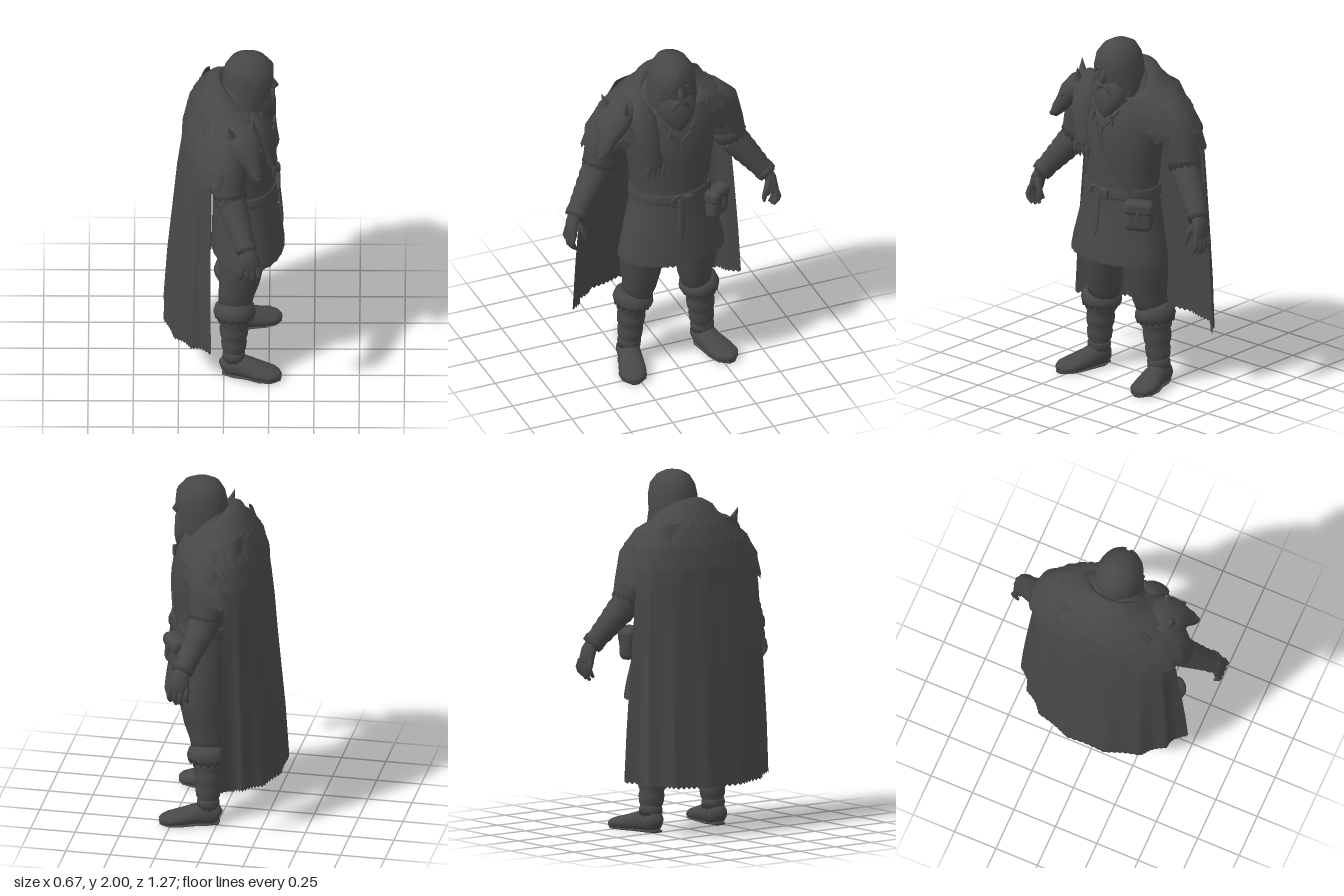
import * as THREE from 'three';
import { RoundedBoxGeometry } from 'three/addons/geometries/RoundedBoxGeometry.js';

const V = (x, y, z) => new THREE.Vector3(x, y, z);
const charcoal = new THREE.MeshStandardMaterial({ color: 0x48484b, side: THREE.DoubleSide });
charcoal.name = 'charcoal';

// Grid of points (rows x cols) to a smooth surface, optionally wrapped, with caps on chosen ends
function skin(grid, closed, caps) {
  const n = grid[0].length, pos = [], idx = [];
  grid.forEach(r => r.forEach(p => pos.push(p.x, p.y, p.z)));
  const cols = closed ? n : n - 1;
  for (let i = 0; i < grid.length - 1; i++) for (let j = 0; j < cols; j++) {
    const k = (j + 1) % n, a = i * n + j, b = i * n + k, c = a + n, d = b + n;
    idx.push(a, b, c, b, d, c);
  }
  caps.forEach((row, e) => {
    const mid = grid[row].reduce((s, p) => s.add(p), V(0, 0, 0)).divideScalar(n);
    const m = pos.length / 3;
    pos.push(mid.x, mid.y, mid.z);
    for (let j = 0; j < n; j++) {
      const a = row * n + j, b = row * n + (j + 1) % n;
      if (e) idx.push(m, a, b); else idx.push(m, b, a);
    }
  });
  const g = new THREE.BufferGeometry();
  g.setAttribute('position', new THREE.Float32BufferAttribute(pos, 3));
  g.setIndex(idx);
  g.computeVertexNormals();
  return g;
}

// Elliptical sections [x, y, z, halfWidth, halfDepth] swept along their centres;
// zig makes the last edge ragged, floor flattens the underside
function sweep(rows, { n = 20, side = V(1, 0, 0), zig = 0, floor = -9, open = false } = {}) {
  const c = rows.map(r => V(r[0], r[1], r[2]));
  return skin(rows.map((r, i) => {
    const t = c[Math.min(i + 1, c.length - 1)].clone().sub(c[Math.max(i - 1, 0)]).normalize();
    const b = t.clone().cross(side).normalize(), s = b.clone().cross(t);
    return Array.from({ length: n }, (_, j) => {
      const a = j / n * Math.PI * 2;
      const p = c[i].clone().addScaledVector(s, Math.cos(a) * r[3]).addScaledVector(b, Math.sin(a) * r[4]);
      if (zig && i === rows.length - 1) p.addScaledVector(t, zig * (j % 2 ? 1 : -0.6));
      p.y = Math.max(p.y, floor);
      return p;
    });
  }), true, open ? [0] : [0, rows.length - 1]);
}

// Draped sheet open at the front: rows of [y, halfWidth, zBack, zFront, halfAngle, frontRise]
function shell(rows, { n = 64, zig = 0, fold = () => 1 } = {}) {
  return skin(rows.map((r, i) => Array.from({ length: n + 1 }, (_, j) => {
    const u = j / n * 2 - 1, a = u * r[4] * Math.PI / 180, f = fold(u, i / (rows.length - 1));
    const ragged = i === rows.length - 1 ? zig * (j % 2 ? -1 : 0.4) : 0;
    return V(r[1] * Math.sin(a) * f, r[0] + r[5] * (1 - Math.cos(a)) / 2 + ragged,
      (r[2] + r[3]) / 2 - (r[3] - r[2]) / 2 * Math.cos(a) * f);
  })), false, []);
}

const tube = (pts, r) => new THREE.TubeGeometry(new THREE.CatmullRomCurve3(pts.map(p => V(...p))), 16, r, 6);

export function createModel() {
  const model = new THREE.Group(), body = new THREE.Group();
  body.name = 'figure';
  body.rotation.y = Math.PI / 2; // figure looks along +x
  model.add(body);
  const add = (name, geo, at, rot) => {
    const m = new THREE.Mesh(geo, charcoal);
    m.name = name;
    if (at) m.position.set(...at);
    if (rot) m.rotation.set(...rot);
    body.add(m);
    return m;
  };
  const ball = (name, at, s) => add(name, new THREE.SphereGeometry(1, 16, 12), at).scale.set(...s);

  // Tunic, from the neck down to an open, slightly ragged hem
  add('tunic', sweep([[0, 1.82, .08, .09, .08], [0, 1.74, .05, .2, .11], [0, 1.62, .075, .265, .17],
    [0, 1.5, .1, .262, .182], [0, 1.4, .11, .255, .183], [0, 1.28, .11, .235, .178], [0, 1.16, .11, .222, .175],
    [0, 1.08, .115, .232, .18], [0, .95, .12, .265, .185], [0, .82, .13, .295, .197], [0, .755, .132, .308, .203],
    [0, .737, .132, .31, .204]], { n: 48, zig: .005, open: true }));
  add('belt', sweep([[0, 1.165, .11, .225, .18], [0, 1.16, .11, .234, .186], [0, 1.11, .112, .238, .188],
    [0, 1.105, .112, .225, .18]], { n: 40 }));
  add('buckle', new THREE.TorusGeometry(.033, .009, 8, 20), [-.03, 1.135, .302]);
  add('beltKnot', new RoundedBoxGeometry(.06, .06, .03, 2, .012), [.03, 1.135, .298]);
  add('beltEnd', sweep([[-.01, 1.14, .3, .02, .01], [-.015, 1.02, .312, .022, .01], [-.02, .93, .32, .024, .009],
    [-.022, .88, .324, .004, .006]], { n: 10 }));

  // Pouch with flap and clasp
  add('pouch', new RoundedBoxGeometry(.16, .17, .085, 4, .035), [.23, 1.035, .235], [0, .65, -.06]);
  add('pouchFlap', new RoundedBoxGeometry(.165, .08, .095, 3, .03), [.231, 1.085, .237], [0, .65, -.06]);
  add('clasp', new RoundedBoxGeometry(.02, .06, .012, 2, .005), [.258, 1.045, .278], [0, .65, -.06]);
  add('shoulderStrap', tube([[-.06, 1.56, .275], [0, 1.43, .298], [.1, 1.28, .277], [.19, 1.12, .235]], .008));
  for (const s of [-1, 1]) {
    add('neckCord', tube([[s * .1, 1.63, .25], [s * .06, 1.57, .275], [0, 1.5, .288], [s * .015, 1.44, .296]], .007));
    add('cordToggle', new THREE.CapsuleGeometry(.01, .045, 4, 8), [s * .065, 1.57, .278], [0, 0, s * .2]);
  }

  // Head and face
  add('face', sweep([[0, 1.98, .13, .05, .06], [0, 1.93, .14, .1, .115], [0, 1.86, .145, .114, .122],
    [0, 1.82, .143, .114, .118], [0, 1.76, .145, .108, .118], [0, 1.68, .14, .085, .1], [0, 1.62, .1, .07, .07]]));
  add('nose', sweep([[0, 1.85, .256, .01, .01], [0, 1.82, .27, .014, .016], [0, 1.795, .28, .02, .023],
    [0, 1.78, .27, .013, .014]], { n: 12 }));
  for (const s of [-1, 1]) {
    ball('brow', [s * .042, 1.848, .246], [.036, .01, .018]);
    ball('eye', [s * .04, 1.828, .245], [.014, .008, .01]);
    ball('cheek', [s * .058, 1.79, .222], [.04, .035, .022]);
    add('moustache', sweep([[0, 1.765, .266, .014, .016], [s * .03, 1.75, .264, .018, .018],
      [s * .055, 1.7, .255, .018, .018], [s * .065, 1.64, .25, .004, .004]], { n: 10 }));
  }
  add('beard', sweep([[0, 1.79, .18, .108, .06], [0, 1.74, .2, .115, .072], [0, 1.68, .215, .108, .075],
    [0, 1.63, .23, .082, .062], [0, 1.59, .245, .046, .04], [0, 1.562, .255, .008, .012]]));
  add('hair', shell([[2, .001, .13, .131, 180, 0], [1.993, .045, .08, .185, 180, 0], [1.97, .085, .035, .235, 179, 0],
    [1.92, .118, .005, .275, 172, 0], [1.86, .131, -.008, .286, 157, 0], [1.8, .135, -.01, .278, 147, 0],
    [1.72, .142, -.01, .265, 140, 0], [1.64, .135, -.01, .27, 140, 0], [1.6, .12, -.01, .27, 140, 0]],
    { n: 60, zig: .008, fold: (u, v) => 1 + .012 * v * Math.sin(u * 34) }));

  // Fur mantle with a rolled collar and overlapping ragged tiers
  const fur = [[1.78, .125, 0, .19, 150, -.16], [1.845, .14, -.015, .2, 150, -.19], [1.862, .165, -.04, .21, 150, -.2],
    [1.84, .195, -.09, .225, 150, -.17], [1.79, .215, -.118, .235, 150, -.1], [1.73, .29, -.165, .24, 150, -.05],
    [1.63, .385, -.202, .24, 150, -.01], [1.51, .445, -.225, .23, 150, .03], [1.37, .468, -.238, .21, 146, .11]];
  add('mantle', shell(fur, { zig: .018, fold: (u, v) => 1 + .012 * v * Math.sin(u * 41) }));
  for (const k of [5, 6, 7]) {
    const r = fur[k];
    add('furTier', shell([fur[k - 1], [r[0] - .01, r[1] + .011, r[2] - .008, r[3] + .01, r[4], r[5]]], { n: 52, zig: .016 }));
  }

  // Long pleated cape, straighter towards its front corners
  const pleats = (u, v) => 1 + v * (.025 - .055 * Math.abs(Math.cos(u * Math.PI * 3.5)) - .08 * Math.sin(u * u * Math.PI));
  const cape = [[1.74, .25, -.14], [1.5, .4, -.215], [1.36, .425, -.24], [1.2, .437, -.262], [.9, .46, -.29],
    [.6, .48, -.318], [.285, .493, -.338]];
  add('cape', shell(cape.map(([y, w, zb], i) => [y, w, zb, -.16 - zb, 92, i === cape.length - 1 ? .07 : 0]),
    { n: 90, zig: .009, fold: pleats }));

  // Wolf pelt head on the right shoulder, with a hanging paw
  add('wolfHead', sweep([[-.22, 1.7, .07, .05, .03], [-.27, 1.685, .08, .09, .05], [-.325, 1.64, .105, .103, .07],
    [-.365, 1.59, .13, .09, .065], [-.39, 1.54, .155, .054, .047], [-.418, 1.495, .175, .042, .037],
    [-.438, 1.462, .185, .025, .022]], { side: V(.5, 0, .87) }));
  ball('wolfNose', [-.444, 1.468, .19], [.018, .015, .018]);
  for (const [x, z, lean, tilt] of [[-.355, .04, -.25, .25], [-.285, .155, .2, -.05]]) {
    add('wolfEar', new THREE.ConeGeometry(.042, .13, 10), [x, 1.705, z], [lean, 0, tilt]);
  }
  ball('wolfEye', [-.418, 1.6, .12], [.014, .012, .014]);
  ball('wolfEye', [-.36, 1.6, .203], [.014, .012, .014]);
  add('pawLeg', sweep([[-.2, 1.73, .15, .03, .02], [-.195, 1.67, .205, .07, .035], [-.185, 1.56, .24, .07, .036],
    [-.17, 1.47, .258, .05, .03], [-.155, 1.4, .266, .056, .03], [-.148, 1.36, .268, .045, .022]]));
  for (let i = 0; i < 4; i++) {
    const x = -.195 + i * .029;
    add('pawToe', sweep([[x, 1.39, .272, .015, .015], [x, 1.35, .28, .016, .016], [x, 1.305, .274, .004, .004]], { n: 8 }));
  }

  for (const s of [-1, 1]) {
    // Arms: sleeve, fur cuff, wrapped bracer
    add('sleeve', sweep([[s * .24, 1.64, .04, .1, .1], [s * .33, 1.54, .03, .115, .105], [s * .37, 1.42, .028, .1, .098],
      [s * .405, 1.3, .035, .085, .085], [s * .45, 1.23, .055, .06, .065]]));
    add('elbowCuff', sweep([[s * .365, 1.385, .025, .07, .07], [s * .373, 1.37, .03, .095, .092],
      [s * .4, 1.315, .036, .092, .09]], { n: 28, zig: .01 }));
    const elbow = V(s * .395, 1.31, .035), wrist = V(s * .57, 1.08, .125);
    const wraps = [];
    for (let i = 0; i <= 12; i++) {
      const p = elbow.clone().lerp(wrist, i / 12), r = .087 - .033 * i / 12 + (i % 2 ? .003 : -.002);
      wraps.push([p.x, p.y, p.z, r, r]);
    }
    add('bracer', sweep(wraps));
    add('wristCuff', sweep([[s * .55, 1.105, .115, .05, .05], [s * .56, 1.093, .122, .062, .064],
      [s * .576, 1.072, .131, .057, .058]], { n: 20, zig: .007 }));
    // Hands with curled fingers
    add('palm', sweep([[s * .57, 1.09, .125, .035, .04], [s * .594, 1.04, .135, .032, .052],
      [s * .605, .985, .142, .027, .056], [s * .606, .96, .143, .015, .045]]));
    for (let i = 0; i < 4; i++) {
      const z = .095 + i * .032, d = [.02, 0, .005, .02][i];
      add('finger', sweep([[s * .605, .99, z, .016, .016], [s * .62, .945, z + .003, .016, .015],
        [s * .612, .905 + d, z + .003, .015, .014], [s * .592, .876 + d, z, .008, .008]], { n: 8 }));
    }
    add('thumb', sweep([[s * .575, 1.04, .165, .022, .022], [s * .55, .995, .185, .018, .018],
      [s * .535, .95, .188, .014, .014], [s * .537, .925, .186, .007, .007]], { n: 8 }));

    // Legs: trousers, fur knee cuffs, wrapped calves, shoes
    add('trouserLeg', sweep([[s * .14, .88, .11, .09, .09], [s * .155, .8, .11, .128, .13], [s * .16, .72, .102, .13, .126],
      [s * .165, .6, .088, .113, .114], [s * .165, .5, .07, .094, .1], [s * .185, .42, .06, .085, .09]]));
    add('kneeFur', sweep([[s * .185, .455, .06, .08, .08], [s * .19, .435, .06, .105, .108], [s * .198, .4, .06, .113, .118],
      [s * .2, .37, .06, .1, .108]], { n: 32, zig: .011 }));
    const calf = [];
    for (let i = 0; i <= 14; i++) {
      const k = i / 14, w = i % 4 === 0 ? -.004 : .003;
      calf.push([s * (.2 + .02 * k), .4 - .3 * k, .056, .086 - .026 * k + w, .09 - .033 * k + w]);
    }
    add('legWraps', sweep(calf));
    add('ankleFlare', sweep([[s * .217, .15, .055, .06, .055], [s * .219, .13, .055, .067, .063],
      [s * .22, .095, .055, .064, .062]], { n: 20, zig: .006 }));
    add('shoe', sweep([[s * .218, .045, -.012, .03, .035], [s * .22, .055, .01, .058, .06], [s * .225, .06, .06, .065, .068],
      [s * .24, .05, .13, .067, .058], [s * .262, .038, .2, .077, .046], [s * .28, .03, .265, .074, .036],
      [s * .287, .025, .3, .05, .028], [s * .29, .022, .317, .02, .015]], { floor: 0 }));
    add('sole', sweep([[s * .22, .008, -.008, .035, .01], [s * .225, .008, .06, .064, .01], [s * .243, .008, .14, .066, .01],
      [s * .265, .008, .21, .077, .01], [s * .281, .008, .275, .068, .01], [s * .288, .008, .316, .025, .01]], { floor: 0 }));
  }
  return model;
}
